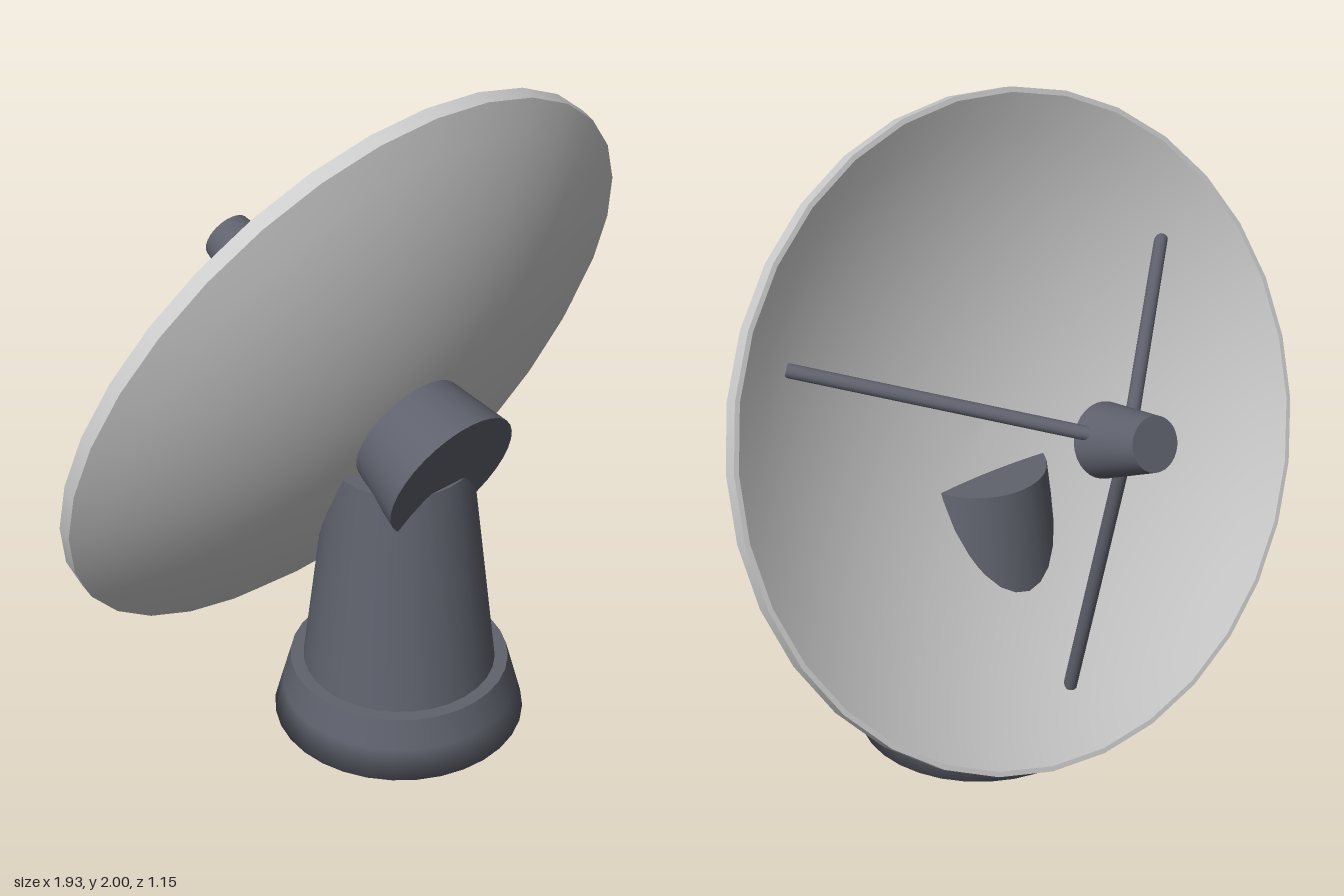
import * as THREE from 'three';

const SIDES = 32;

export function createModel() {
  const model = new THREE.Group();
  model.name = 'satelliteDish';

  const paleGrey = new THREE.MeshStandardMaterial({ color: 0xcccccc });
  paleGrey.name = 'paleGrey';
  const slateGrey = new THREE.MeshStandardMaterial({ color: 0x5f626d });
  slateGrey.name = 'slateGrey';

  const add = (parent, name, geometry, material, x = 0, y = 0, z = 0) => {
    const mesh = new THREE.Mesh(geometry, material);
    mesh.name = name;
    mesh.position.set(x, y, z);
    parent.add(mesh);
    return mesh;
  };
  const lathe = (points) =>
    new THREE.LatheGeometry(points.map(([r, y]) => new THREE.Vector2(r, y)), SIDES);
  const cone = (top, bottom, height) =>
    new THREE.CylinderGeometry(top, bottom, height, SIDES);

  // Fixed stand: foot, flared base and tapering pedestal
  const stand = new THREE.Group();
  stand.name = 'stand';
  stand.position.z = 0.21;
  model.add(stand);
  add(stand, 'foot', cone(0.3, 0.3, 0.03), slateGrey, 0, 0.015, 0);
  add(stand, 'baseSkirt', lathe([[0.28, 0.02], [0.366, 0.02], [0.342, 0.11], [0.318, 0.2]]), slateGrey);
  add(stand, 'baseTop', lathe([[0.318, 0.2], [0, 0.2]]), slateGrey);
  add(stand, 'pedestal', cone(0.2, 0.28, 0.685), slateGrey, 0, 0.5425, 0);

  // Tilted assembly: local +y is the dish axis, the origin is the rim centre
  const tilted = new THREE.Group();
  tilted.name = 'tiltedAssembly';
  tilted.position.set(0, 1.09, -0.04);
  tilted.rotation.x = THREE.MathUtils.degToRad(-70);
  model.add(tilted);

  // Dish bowl: shallow spherical back and inside, joined by a flat rim
  const arc = (rimRadius, rimY, depth, steps = 10) => {
    const R = (rimRadius ** 2 + depth ** 2) / (2 * depth);
    const sweep = Math.asin(rimRadius / R);
    return Array.from({ length: steps + 1 }, (_, i) => {
      const a = (sweep * i) / steps;
      return [R * Math.sin(a), rimY - depth + R * (1 - Math.cos(a))];
    });
  };
  add(tilted, 'dishBack', lathe(arc(0.965, -0.042, 0.258)), paleGrey);
  add(tilted, 'dishRimEdge', lathe([[0.965, -0.042], [0.965, 0]]), paleGrey);
  add(tilted, 'dishRimLip', lathe([[0.965, 0], [0.95, 0]]), paleGrey);
  add(tilted, 'dishInside', lathe(arc(0.95, 0, 0.255).reverse()), paleGrey);

  // Hub behind the dish, narrowing towards it
  add(tilted, 'hub', cone(0.178, 0.215, 0.21), slateGrey, 0, -0.379, 0);

  // Receiver head on the dish axis
  add(tilted, 'receiverHead', cone(0.076, 0.105, 0.216), slateGrey, 0, 0.435, 0);

  // Three struts from the bowl to the receiver
  const up = new THREE.Vector3(0, 1, 0);
  for (let i = 0; i < 3; i++) {
    const a = Math.PI / 3 + (i * 2 * Math.PI) / 3;
    const at = (r, y) => new THREE.Vector3(r * Math.sin(a), y, r * Math.cos(a));
    const start = at(0.768, -0.096);
    const end = at(0.085, 0.37);
    const span = end.clone().sub(start);
    const strut = add(tilted, 'strut', new THREE.CylinderGeometry(0.02, 0.02, span.length(), 12), slateGrey);
    strut.position.copy(start).add(end).multiplyScalar(0.5);
    strut.quaternion.setFromUnitVectors(up, span.normalize());
  }

  return model;
}
